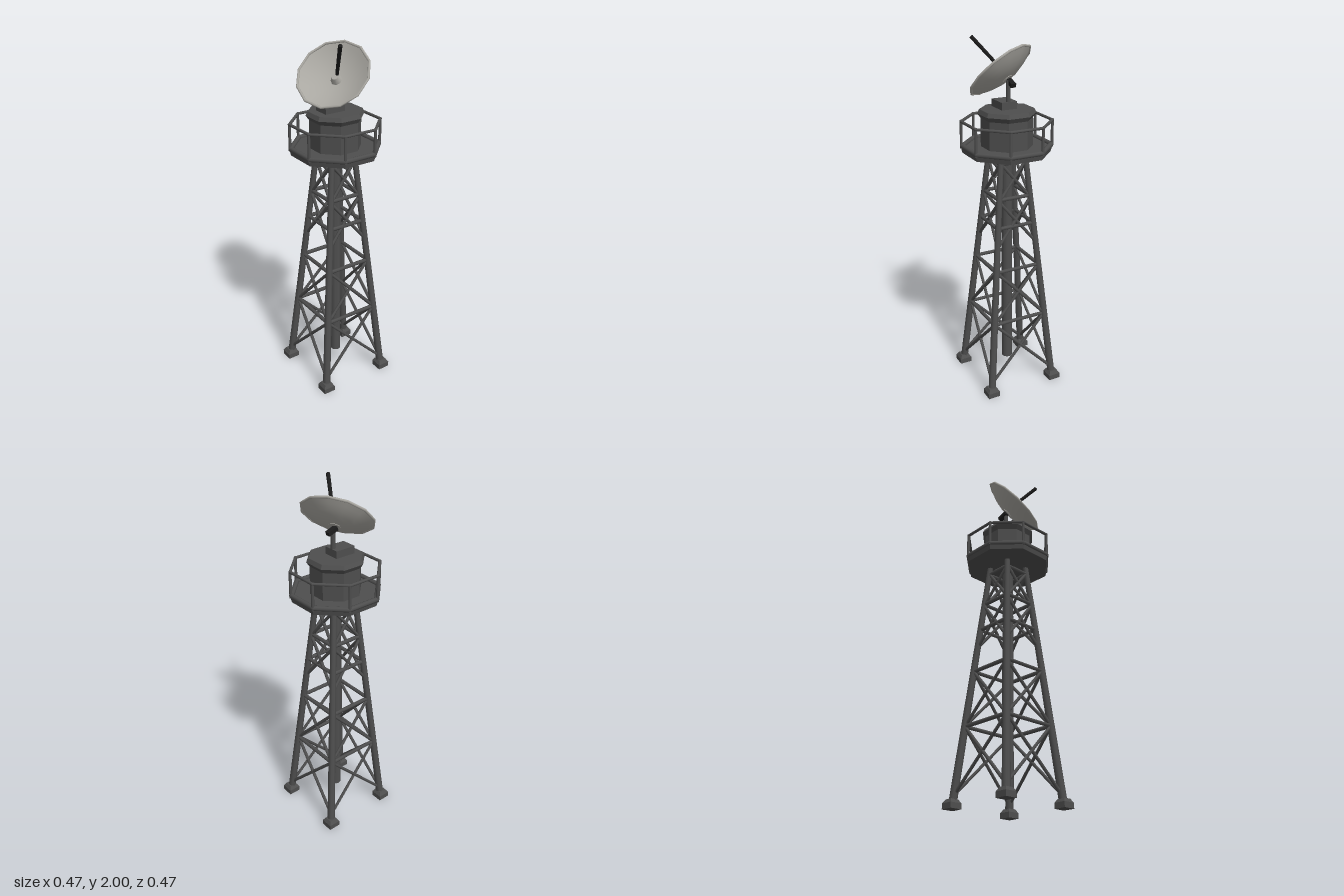
import * as THREE from 'three';

const steel = new THREE.MeshStandardMaterial({ color: 0x4e4e4e });
steel.name = 'dark steel';
const shell = new THREE.MeshStandardMaterial({ color: 0xaaa8a2, side: THREE.DoubleSide });
shell.name = 'pale dish';
const black = new THREE.MeshStandardMaterial({ color: 0x1c1c1c });
black.name = 'black';

const V = (x, y, z) => new THREE.Vector3(x, y, z);
const UP = V(0, 1, 0);

function add(parent, name, geometry, material) {
  const mesh = new THREE.Mesh(geometry, material);
  mesh.name = name;
  parent.add(mesh);
  return mesh;
}

// hard-edged copy of a geometry
function faceted(geometry) {
  const g = geometry.toNonIndexed();
  g.computeVertexNormals();
  return g;
}

// round bar between two points
function bar(parent, name, a, b, r, material = steel, r2 = r, sides = 8) {
  const dir = b.clone().sub(a);
  const mesh = add(parent, name, new THREE.CylinderGeometry(r2, r, dir.length(), sides), material);
  mesh.position.copy(a).add(b).multiplyScalar(0.5);
  mesh.quaternion.setFromUnitVectors(UP, dir.normalize());
  return mesh;
}

function box(parent, name, size, pos, material = steel) {
  const mesh = add(parent, name, new THREE.BoxGeometry(...size), material);
  mesh.position.set(...pos);
  return mesh;
}

// eight-sided prism, sized by its half width across flats
const K = 1 / Math.cos(Math.PI / 8);
function octagon(parent, name, top, bottom, y0, y1) {
  const g = new THREE.CylinderGeometry(top * K, bottom * K, y1 - y0, 8);
  g.rotateY(Math.PI / 8);
  const mesh = add(parent, name, faceted(g), steel);
  mesh.position.y = (y0 + y1) / 2;
  return mesh;
}

// leg centre line, half spread at a given height
const spread = (y) => 0.2 - 0.092 * y;
const SIGNS = [[1, 1], [1, -1], [-1, -1], [-1, 1]];
const corner = (i, y) => V(SIGNS[i % 4][0] * spread(y), y, SIGNS[i % 4][1] * spread(y));

function buildTower() {
  const tower = new THREE.Group();
  tower.name = 'tower';
  bar(tower, 'centrePole', V(0, 0.1, 0), V(0, 1.4, 0), 0.031, steel, 0.031, 10);
  for (let i = 0; i < 4; i++) {
    const c = corner(i, 0);
    bar(tower, 'leg', corner(i, 0.02), corner(i, 1.4), 0.022, steel, 0.016);
    box(tower, 'foot', [0.07, 0.03, 0.07], [c.x, 0.015, c.z]);
    const collar = new THREE.CylinderGeometry(0.032, 0.049, 0.02, 4);
    collar.rotateY(Math.PI / 4);
    add(tower, 'footTaper', faceted(collar), steel).position.set(c.x, 0.04, c.z);

    // horizontal struts
    for (const y of [0.43, 0.74, 0.99, 1.15, 1.345]) {
      bar(tower, 'strut', corner(i, y), corner(i + 1, y), 0.011, steel, 0.011, 6);
    }
    // crossed braces
    for (const [y0, y1] of [[0.07, 0.43], [0.43, 0.74], [0.88, 1.14], [1.14, 1.35]]) {
      bar(tower, 'brace', corner(i, y0), corner(i + 1, y1), 0.009, steel, 0.009, 6);
      bar(tower, 'brace', corner(i + 1, y0), corner(i, y1), 0.009, steel, 0.009, 6);
    }
  }
  return tower;
}

function buildPlatform() {
  const platform = new THREE.Group();
  platform.name = 'platform';
  octagon(platform, 'deck', 0.23, 0.222, 1.385, 1.42);
  octagon(platform, 'cabin', 0.13, 0.13, 1.42, 1.575);
  octagon(platform, 'cabinEave', 0.146, 0.13, 1.575, 1.6);
  octagon(platform, 'cabinRoof', 0.136, 0.146, 1.6, 1.622);

  // deck rim, railing and posts
  const point = (i, y, r) => {
    const a = Math.PI / 8 + i * Math.PI / 4;
    return V(Math.cos(a) * r * K, y, Math.sin(a) * r * K);
  };
  for (let i = 0; i < 8; i++) {
    bar(platform, 'deckRim', point(i, 1.422, 0.222), point(i + 1, 1.422, 0.222), 0.014);
    bar(platform, 'handrail', point(i, 1.557, 0.226), point(i + 1, 1.557, 0.226), 0.008);
    bar(platform, 'railPost', point(i, 1.41, 0.226), point(i, 1.557, 0.226), 0.008);
    add(platform, 'railJoint', new THREE.SphereGeometry(0.009, 8, 6), steel)
      .position.copy(point(i, 1.557, 0.226));
    add(platform, 'rimJoint', new THREE.SphereGeometry(0.014, 8, 6), steel)
      .position.copy(point(i, 1.422, 0.222));
  }
  return platform;
}

function buildDish() {
  const dish = new THREE.Group();
  dish.name = 'dish';
  // curved bowl opening along its own +y, with a rolled rim
  const R = 0.198, depth = 0.06;
  const profile = [];
  for (let i = 0; i <= 6; i++) {
    const r = R * i / 6;
    profile.push(new THREE.Vector2(r, depth * (i / 6) ** 2 - depth));
  }
  add(dish, 'bowl', new THREE.LatheGeometry(profile, 12), shell);
  const rim = new THREE.TorusGeometry(R - 0.003, 0.007, 6, 12);
  rim.rotateX(Math.PI / 2);
  add(dish, 'rim', rim, shell);
  const hub = add(dish, 'feedHub', new THREE.CylinderGeometry(0.018, 0.032, 0.035, 8), shell);
  hub.position.y = -depth + 0.016;
  dish.position.set(-0.03, 1.82, 0.022);
  dish.quaternion.setFromUnitVectors(UP, V(-0.61, 0.7, 0.36).normalize());
  return dish;
}

export function createModel() {
  const model = new THREE.Group();
  model.name = 'radarTower';
  model.add(buildTower(), buildPlatform());

  // pedestal, mast and dish bracket
  box(model, 'pedestal', [0.12, 0.045, 0.09], [-0.03, 1.64, 0]);
  bar(model, 'mast', V(0.017, 1.62, 0), V(0.017, 1.775, 0), 0.013);
  const bracket = box(model, 'dishBracket', [0.06, 0.022, 0.028], [0.032, 1.762, -0.008], black);
  bracket.rotation.z = -0.35;

  model.add(buildDish());
  bar(model, 'feedArm', V(0.002, 1.81, 0.012), V(-0.083, 1.995, 0.163), 0.009, black, 0.011, 6);
  return model;
}
